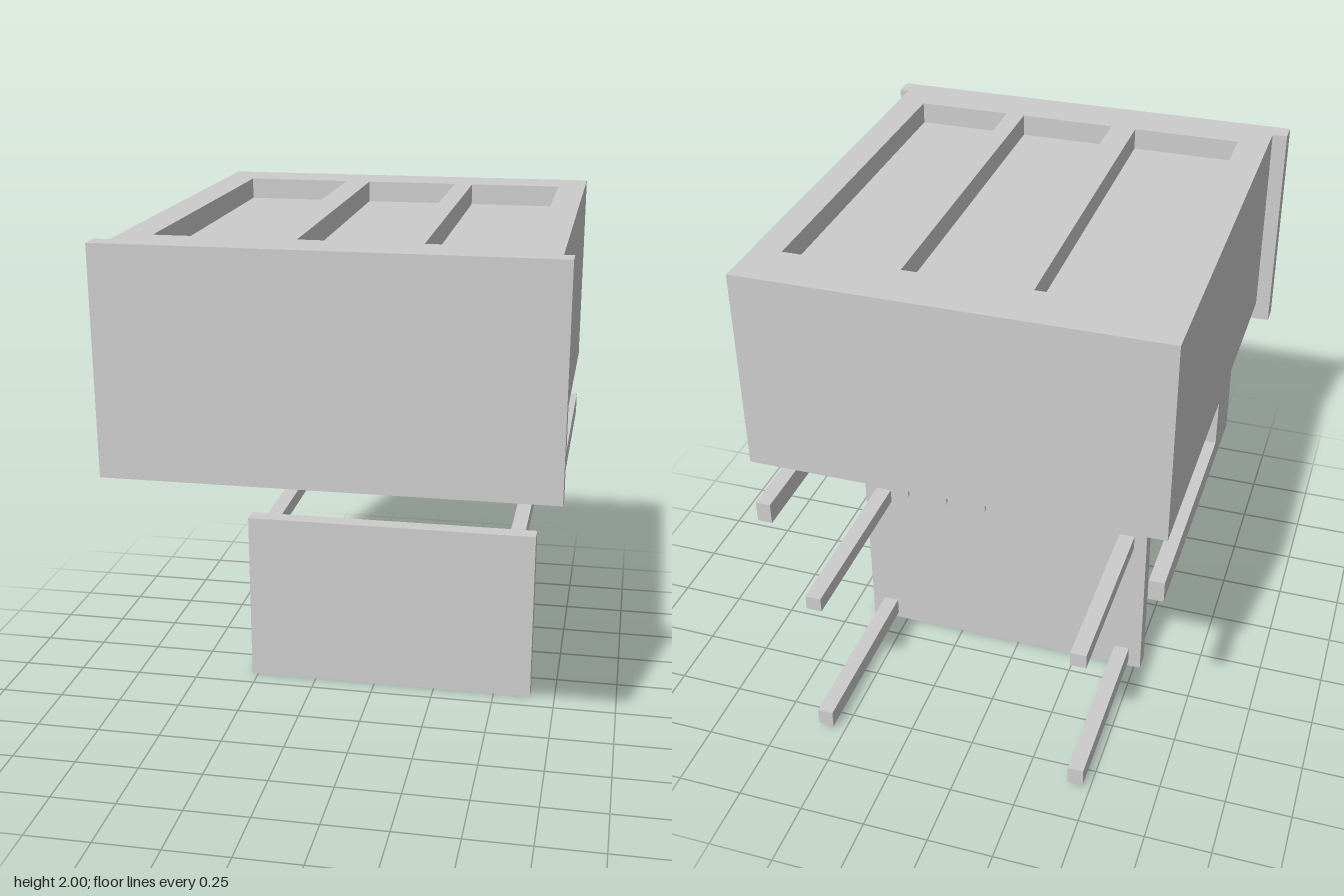
import * as THREE from 'three';

const material = new THREE.MeshStandardMaterial({ color: 0xcccccc, flatShading: true });

export function createModel() {
  const model = new THREE.Group();

  const add = (name, geometry) => {
    const mesh = new THREE.Mesh(geometry, material);
    mesh.name = name;
    model.add(mesh);
    return mesh;
  };
  // Box given by its low and high corners
  const box = (name, [x0, y0, z0], [x1, y1, z1]) => {
    const mesh = add(name, new THREE.BoxGeometry(x1 - x0, y1 - y0, z1 - z0));
    mesh.position.set((x0 + x1) / 2, (y0 + y1) / 2, (z0 + z1) / 2);
    return mesh;
  };
  const rect = (path, x0, y0, x1, y1) =>
    path.moveTo(x0, y0).lineTo(x1, y0).lineTo(x1, y1).lineTo(x0, y1).closePath();

  const L = -0.735, R = 0.755, back = -0.85;

  // Cabinet of the upright piano, lying on its back
  box('cabinet', [L, 1.26, back], [R, 1.92, 0.78]);
  box('lid', [-0.79, 1.19, 0.775], [0.79, 2, 0.85]);

  // Frame with three sunken panels
  const frame = new THREE.Shape();
  rect(frame, L, -0.78, R, 0.85);
  for (const [x0, x1] of [[-0.62, -0.22], [-0.125, 0.23], [0.3, 0.65]]) {
    const hole = new THREE.Path();
    rect(hole, x0, -0.67, x1, 0.655);
    frame.holes.push(hole);
  }
  const frameGeometry = new THREE.ExtrudeGeometry(frame, { depth: 0.08, bevelEnabled: false });
  frameGeometry.rotateX(-Math.PI / 2);
  add('panelFrame', frameGeometry).position.y = 1.92;

  // Keyboard arms and their legs
  box('rightArm', [L, 1, 0], [-0.64, 1.26, 0.24]);
  box('leftArm', [0.65, 1, 0], [R, 1.26, 0.24]);
  box('rightLeg', [L, 1, back], [L + 0.055, 1.08, 0]);
  box('leftLeg', [R - 0.055, 1, back], [R, 1.08, 0]);

  // Keyboard with front rail and black keys
  box('keyBed', [-0.64, 1.045, 0], [0.65, 1.26, 0.12]);
  box('keyRail', [-0.64, 1, 0], [0.65, 1.045, 0.15]);
  const keys = [-0.077, -0.05, -0.02, 0.024, 0.05, 0.098, 0.13, 0.162, 0.227, 0.267,
    0.347, 0.384, 0.437, 0.469, 0.527, 0.558, 0.59];
  for (const x of keys) box('blackKey', [x - 0.006, 1.11, 0.12], [x + 0.006, 1.26, 0.14]);

  // Thin music rest
  box('musicRest', [-0.4, 1.253, 0.25], [0.4, 1.26, 0.62]);

  // Pedals: narrow stem ending in a round pad
  for (const x of [0.23, 0.09, -0.05]) {
    const pedal = new THREE.Shape();
    pedal.moveTo(-0.015, 1.27).lineTo(-0.015, 1.22);
    pedal.absarc(0, 1.185, 0.033, Math.PI * 0.65, Math.PI * 2.35, false);
    pedal.lineTo(0.015, 1.27).closePath();
    const geometry = new THREE.ExtrudeGeometry(pedal, { depth: 0.012, bevelEnabled: false, curveSegments: 16 });
    add('pedal', geometry).position.set(x, 0, -0.776);
  }

  // Bench, also lying on its back
  box('benchSeat', [-0.525, 0, -0.15], [0.65, 0.705, -0.08]);
  for (const x of [-0.475, 0.54])
    for (const [y0, y1] of [[0.025, 0.095], [0.622, 0.68]])
      box('benchLeg', [x, y0, back], [x + 0.06, y1, -0.15]);

  return model;
}
